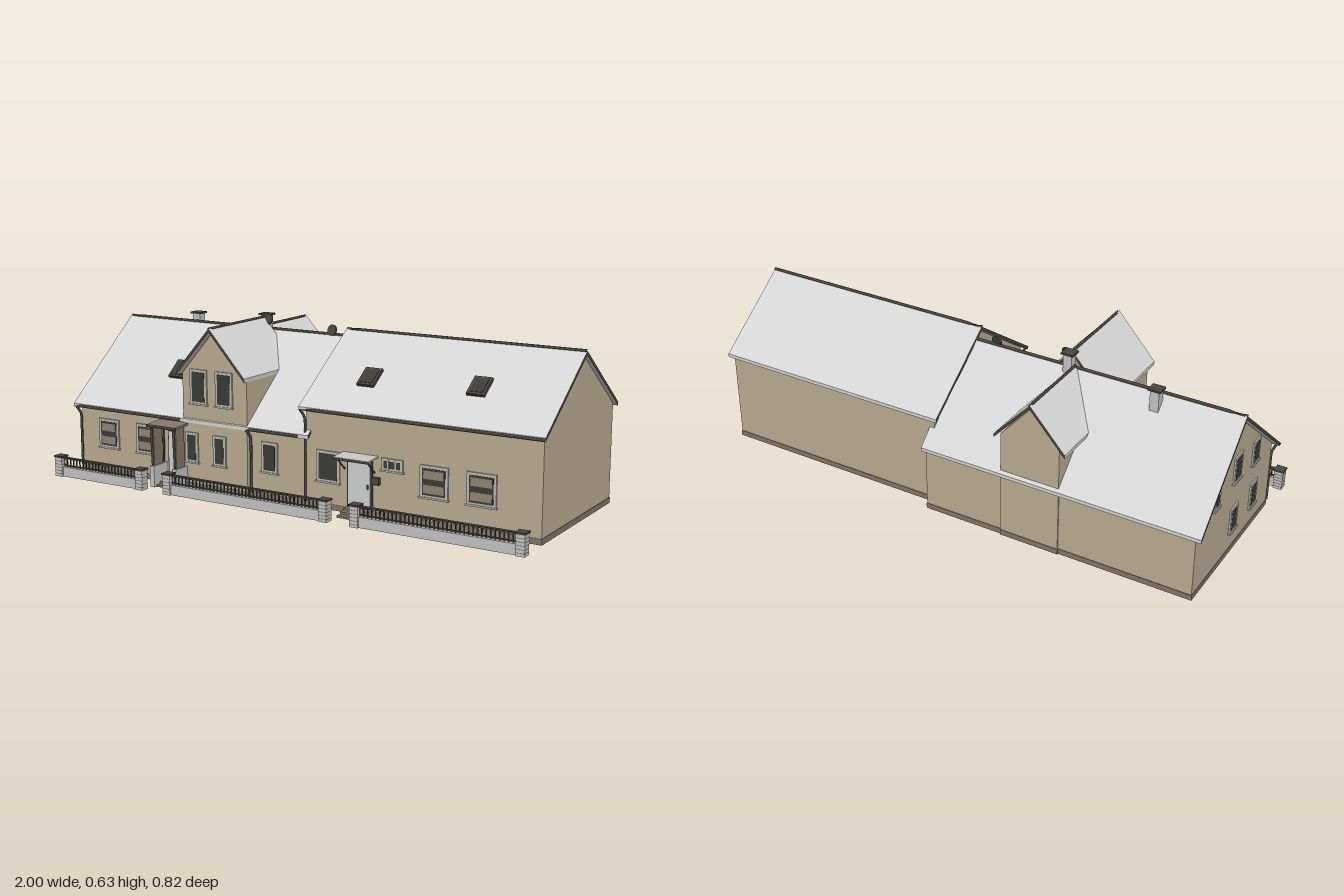
import * as THREE from 'three';

const mat = (name, color) => Object.assign(new THREE.MeshStandardMaterial({ color }), { name });
const M = {
  wall: mat('tan render', 0xbdae93),
  plinth: mat('brown plinth', 0x85786a),
  roof: mat('pale roof tile', 0xd6d6d6),
  dark: mat('dark trim', 0x4a453e),
  stone: mat('light stone', 0xc6c6c6),
  glass: mat('window glass', 0x3b3d36),
  blind: mat('window blind', 0x94866f),
  frame: mat('frame paint', 0xbcbab4),
  door: mat('door paint', 0xd2d4d4),
};

export function createModel() {
  const root = new THREE.Group();
  root.name = 'longHouse';

  const add = (parent, name, geo, m, x = 0, y = 0, z = 0) => {
    const mesh = new THREE.Mesh(geo, m);
    mesh.name = name;
    mesh.position.set(x, y, z);
    parent.add(mesh);
    return mesh;
  };
  // box given by its limits
  const box = (name, m, x0, x1, y0, y1, z0, z1, parent = root) =>
    add(parent, name, new THREE.BoxGeometry(x1 - x0, y1 - y0, z1 - z0), m,
      (x0 + x1) / 2, (y0 + y1) / 2, (z0 + z1) / 2);
  const prism = (pts, depth) => new THREE.ExtrudeGeometry(
    new THREE.Shape(pts.map(p => new THREE.Vector2(...p))), { depth, bevelEnabled: false });
  // profile in (z, y) swept along x
  const alongX = (name, pts, x0, x1, m) => {
    add(root, name, prism(pts, x1 - x0), m, x1).rotation.y = -Math.PI / 2;
  };
  // profile in (x, y) swept along z
  const alongZ = (name, pts, z0, z1, m) => add(root, name, prism(pts, z1 - z0), m, 0, 0, z0);
  // bent roof slab from eave, over ridge, to eave
  const chevron = (a, r, b, t = 0.014) =>
    [a, r, b, [b[0], b[1] - t], [r[0], r[1] - t], [a[0], a[1] - t]];
  const tiles = [M.dark, M.roof];
  const rod = (name, pts, radius) => add(root, name, new THREE.TubeGeometry(
    new THREE.CatmullRomCurve3(pts.map(p => new THREE.Vector3(...p)), false, 'catmullrom', 0.05),
    16, radius, 6), M.dark);

  // main bodies
  alongX('leftWingWalls', [[0.26, 0.02], [0.26, 0.268], [-0.09, 0.554], [-0.395, 0.265], [-0.395, 0.02]], -0.975, 0.08, M.wall);
  alongX('rightWingWalls', [[0.26, 0.02], [0.26, 0.366], [-0.055, 0.586], [-0.35, 0.37], [-0.35, 0.02]], 0.07, 0.985, M.wall);
  box('leftPlinth', M.plinth, -0.977, 0.082, 0, 0.021, -0.397, 0.262);
  box('rightPlinth', M.plinth, 0.07, 0.987, 0, 0.021, -0.352, 0.262);

  // main roofs
  alongX('leftRoof', chevron([0.28, 0.265], [-0.09, 0.57], [-0.41, 0.265]), -1, 0.09, tiles);
  alongX('rightRoof', chevron([0.28, 0.367], [-0.055, 0.603], [-0.37, 0.373]), 0.05, 0.997, tiles);
  rod('leftRidgeCap', [[-1, 0.57, -0.09], [0.05, 0.57, -0.09]], 0.006);
  rod('rightRidgeCap', [[0.05, 0.603, -0.055], [0.997, 0.603, -0.055]], 0.006);

  // cross gables, front and back
  alongZ('frontGableWall', [[-0.465, 0.02], [-0.175, 0.02], [-0.175, 0.44], [-0.325, 0.6], [-0.465, 0.44]], 0, 0.276, M.wall);
  box('frontGablePlinth', M.plinth, -0.467, -0.173, 0, 0.021, 0.2, 0.278);
  alongZ('frontGableRoof', chevron([-0.175, 0.445], [-0.33, 0.617], [-0.483, 0.445]), -0.07, 0.293, tiles);
  rod('frontGableRidge', [[-0.33, 0.616, 0.293], [-0.33, 0.616, -0.07]], 0.005);
  alongZ('rearGableWall', [[-0.465, 0.02], [-0.235, 0.02], [-0.235, 0.425], [-0.355, 0.56], [-0.465, 0.435]], -0.4, -0.15, M.wall);
  box('rearGablePlinth', M.plinth, -0.467, -0.233, 0, 0.021, -0.402, -0.3);
  alongZ('rearGableRoof', chevron([-0.215, 0.425], [-0.355, 0.577], [-0.492, 0.425]), -0.412, -0.09, tiles);
  rod('rearGableRidge', [[-0.355, 0.577, -0.412], [-0.355, 0.577, -0.09]], 0.005);

  // gutters and downpipes
  const gutters = [[-1, -0.475, 0.258], [-0.175, 0.05, 0.258], [0.05, 0.997, 0.36]];
  for (const [x0, x1, y] of gutters) rod('gutter', [[x0, y, 0.281], [x1, y, 0.281]], 0.006);
  for (const [x, y] of [[-0.975, 0.255], [-0.165, 0.255], [0.07, 0.357]])
    rod('downpipe', [[x - 0.012, y, 0.281], [x, y - 0.03, 0.267], [x, 0.13, 0.267], [x, 0.02, 0.267]], 0.005);

  // window: frame, glass, optional blinds, bars; built facing +z
  const makeWindow = (w, h, blinds = false, cols = 1) => {
    const g = new THREE.Group();
    g.name = 'window';
    const plate = (name, m, pw, ph, z, x = 0, y = 0, d = 0.004) =>
      add(g, name, new THREE.BoxGeometry(pw, ph, d), m, x, y, z);
    plate('windowFrame', M.frame, w, h, 0.002, 0, 0, 0.008);
    plate('windowGlass', M.glass, w - 0.02, h - 0.02, 0.005);
    if (blinds) for (const y of [-0.22, 0.22])
      plate('windowBlind', M.blind, w - 0.03, h * 0.26, 0.006, 0, y * h);
    for (let i = 1; i < cols; i++)
      plate('windowBar', M.frame, 0.006, h - 0.01, 0.006, -w / 2 + w * i / cols);
    plate('windowSill', M.frame, w + 0.008, 0.006, 0.004, 0, -h / 2, 0.012);
    return g;
  };
  const placeWindow = (g, x, y, z, turn = 0) => {
    g.position.set(x, y, z);
    g.rotation.y = turn;
    root.add(g);
  };
  for (const [x, w, blinds] of [[-0.838, 0.097, true], [-0.652, 0.1, true], [-0.086, 0.07, false],
    [0.164, 0.097, false], [0.587, 0.108, true], [0.766, 0.11, true]])
    placeWindow(makeWindow(w, 0.115, blinds), x, 0.158, 0.26);
  for (const x of [-0.425, -0.298]) placeWindow(makeWindow(0.058, 0.115), x, 0.158, 0.276);
  for (const x of [-0.39, -0.275]) placeWindow(makeWindow(0.076, 0.132), x, 0.392, 0.276);
  placeWindow(makeWindow(0.085, 0.045, false, 3), 0.424, 0.197, 0.26);
  // side gable windows
  for (const [z, y, w, h] of [[-0.07, 0.35, 0.065, 0.105], [0.095, 0.325, 0.06, 0.095],
    [-0.07, 0.14, 0.06, 0.1], [0.105, 0.14, 0.06, 0.1], [-0.24, 0.31, 0.045, 0.06]])
    placeWindow(makeWindow(w, h), -0.975, y, z, -Math.PI / 2);

  // skylights lying on the front slopes
  for (const [x, z, slope, ridgeY, ridgeZ] of [[-0.6, 0.108, 0.824, 0.57, -0.09],
    [0.263, 0.14, 0.704, 0.603, -0.055], [0.687, 0.128, 0.704, 0.603, -0.055]]) {
    const g = new THREE.Group();
    g.name = 'skylight';
    add(g, 'skylightFrame', new THREE.BoxGeometry(0.068, 0.016, 0.085), M.dark);
    add(g, 'skylightGlass', new THREE.BoxGeometry(0.05, 0.004, 0.065), M.glass, 0, 0.0075, 0);
    g.position.set(x, ridgeY - slope * (z - ridgeZ) + 0.004, z);
    g.rotation.x = Math.atan(slope);
    root.add(g);
  }

  // chimneys and ridge dishes
  for (const [x, z, top] of [[-0.333, -0.094, 0.627], [-0.685, -0.127, 0.603]]) {
    box('chimneyStack', M.stone, x - 0.017, x + 0.017, 0.5, top - 0.007, z - 0.017, z + 0.017);
    box('chimneyCap', M.dark, x - 0.024, x + 0.024, top - 0.007, top, z - 0.022, z + 0.022);
  }
  for (const [x, y, z] of [[-0.31, 0.607, -0.07], [-0.035, 0.585, -0.09]]) {
    const dish = add(root, 'roofDish', new THREE.CylinderGeometry(0.021, 0.021, 0.006, 16), M.dark, x, y, z);
    dish.rotation.set(1.3, 0, 0.15);
  }

  // door with steps below
  const entrance = (x, w, top, z) => {
    box('doorFrame', M.dark, x - w / 2 - 0.006, x + w / 2 + 0.006, 0.025, top + 0.006, z - 0.004, z + 0.004);
    box('door', M.door, x - w / 2, x + w / 2, 0.028, top, z, z + 0.008);
    box('doorHandle', M.dark, x + w / 2 - 0.012, x + w / 2 - 0.006, 0.1, 0.115, z + 0.008, z + 0.013);
    for (let i = 0; i < 3; i++)
      box('step', M.plinth, x - 0.052, x + 0.052, 0.008 * i, 0.008 * (i + 1), 0.25, 0.335 - 0.022 * i);
  };
  entrance(-0.51, 0.062, 0.205, 0.262);
  entrance(0.295, 0.09, 0.2, 0.262);

  // timber porch on low stone walls
  for (const s of [-1, 1]) {
    const x = -0.512 + s * 0.052;
    box('porchLowWall', M.stone, x - 0.01, x + 0.01, 0, 0.082, 0.262, 0.347);
    box('porchSidePanel', M.plinth, x - 0.005, x + 0.005, 0.082, 0.236, 0.287, 0.338);
    rod('porchPost', [[x, 0.08, 0.34], [x, 0.238, 0.347]], 0.005);
    rod('porchRearPost', [[x, 0.08, 0.272], [x, 0.245, 0.272]], 0.004);
  }
  const porchRoof = box('porchRoof', M.plinth, -0.578, -0.445, 0.238, 0.246, 0.262, 0.355);
  porchRoof.rotation.x = 0.06;
  box('porchRoofEdge', M.dark, -0.58, -0.443, 0.233, 0.243, 0.352, 0.356);

  // flat canopy on brackets over the second door
  const canopy = box('doorCanopy', M.stone, 0.225, 0.367, 0.213, 0.219, 0.26, 0.332);
  canopy.rotation.x = 0.07;
  box('canopyEdge', M.dark, 0.225, 0.367, 0.207, 0.215, 0.329, 0.333);
  for (const x of [0.235, 0.357]) rod('canopyBracket', [[x, 0.16, 0.265], [x, 0.208, 0.318]], 0.003);
  box('letterBox', M.dark, 0.346, 0.376, 0.12, 0.146, 0.258, 0.275);

  // street fence: stone piers, low wall and iron railing
  const zF = 0.393;
  for (const [a, b] of [[-0.975, -0.58], [-0.45, 0.23], [0.355, 0.975]]) {
    for (const x of [a, b]) {
      for (let i = 0; i < 6; i++) {
        box('pierCourse', M.stone, x - 0.017, x + 0.017, i * 0.0125, i * 0.0125 + 0.0108, zF - 0.017, zF + 0.017);
        box('pierJoint', M.plinth, x - 0.016, x + 0.016, i * 0.0125 + 0.0108, (i + 1) * 0.0125, zF - 0.016, zF + 0.016);
      }
      box('pierCap', M.dark, x - 0.02, x + 0.02, 0.075, 0.081, zF - 0.02, zF + 0.02);
    }
    box('fenceWall', M.stone, a, b, 0, 0.038, zF - 0.009, zF + 0.009);
    box('fenceTopRail', M.dark, a, b, 0.07, 0.076, zF - 0.007, zF + 0.007);
    box('fenceBottomRail', M.dark, a, b, 0.042, 0.046, zF - 0.003, zF + 0.003);
    const n = Math.round((b - a) / 0.016);
    for (let i = 1; i < n; i++) {
      const x = a + (b - a) * i / n;
      box('fenceBar', M.dark, x - 0.002, x + 0.002, 0.036, 0.072, zF - 0.002, zF + 0.002);
    }
  }
  return root;
}
